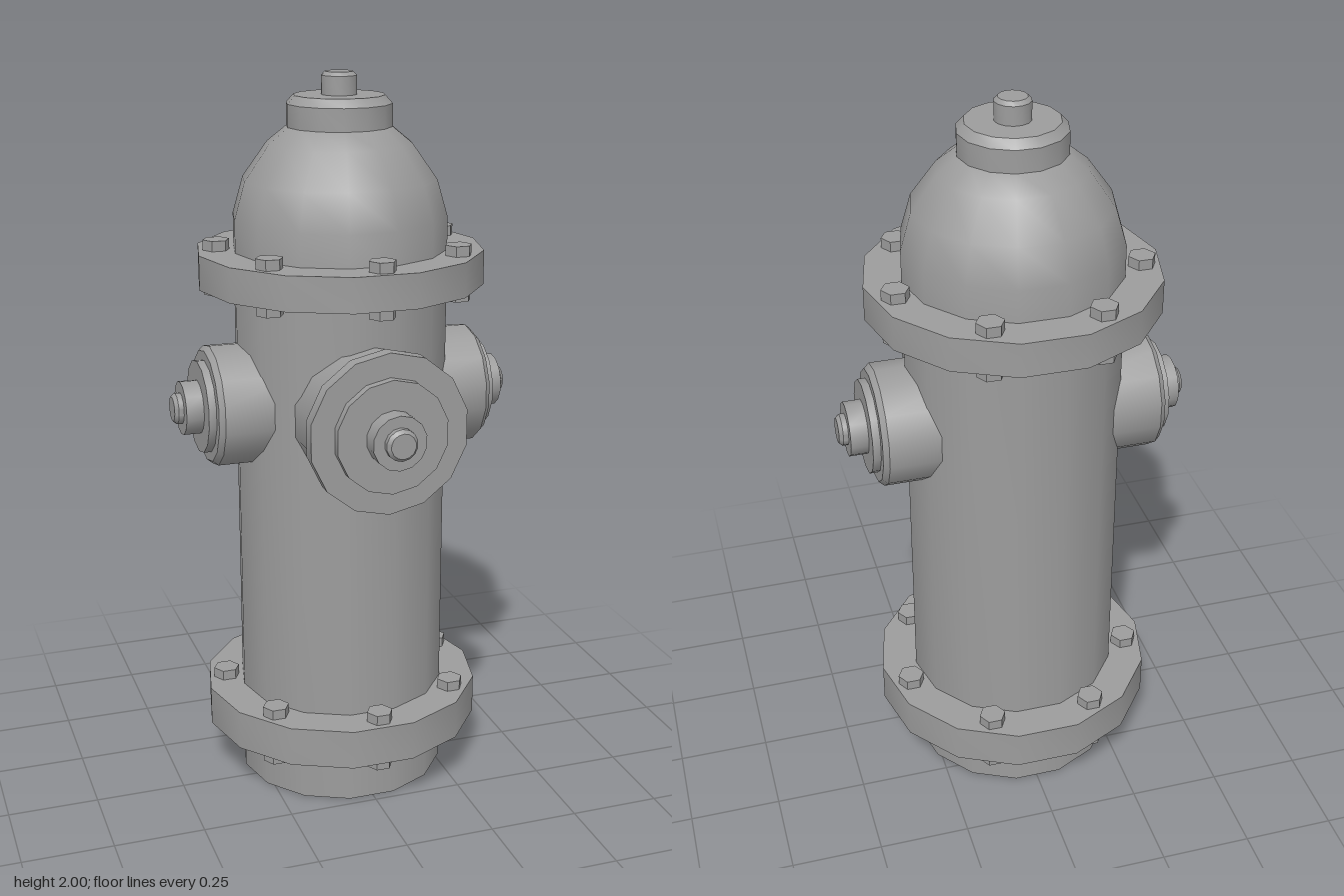
import * as THREE from 'three';
import { toCreasedNormals } from 'three/addons/utils/BufferGeometryUtils.js';

const SIDES = 14;
const material = new THREE.MeshStandardMaterial({ color: 0x9c9c9c });

function addMesh(parent, name, geometry) {
  const mesh = new THREE.Mesh(geometry, material);
  mesh.name = name;
  parent.add(mesh);
  return mesh;
}

// Turned part from [radius, height] pairs, smooth around and sharp at steps
function turned(profile, phiStart) {
  const points = profile.map(([r, h]) => new THREE.Vector2(r, h));
  return toCreasedNormals(new THREE.LatheGeometry(points, SIDES, phiStart), 0.6);
}

// Upright parts have a corner on the x axis
const upright = (profile) => turned(profile, Math.PI / SIDES);

// Flange ring with seven hex bolts passing through it
function addFlange(parent, name, bottom, top) {
  const flange = new THREE.Group();
  flange.name = name;
  parent.add(flange);
  addMesh(flange, 'flangePlate', upright([[0, bottom], [0.393, bottom], [0.393, top], [0, top]]));
  const height = top - bottom + 0.056;
  const boltGeometry = new THREE.CylinderGeometry(0.037, 0.037, height, 6).rotateY(Math.PI / 6).toNonIndexed();
  boltGeometry.computeVertexNormals();
  for (let i = 0; i < 7; i++) {
    const angle = (i / 7) * Math.PI * 2 + 0.012;
    const bolt = addMesh(flange, 'bolt', boltGeometry);
    bolt.position.set(0.335 * Math.sin(angle), (bottom + top) / 2, 0.335 * Math.cos(angle));
  }
}

// Nozzle turned about the +z axis, then swung around the barrel
function addNozzle(parent, name, profile, turn) {
  const nozzle = addMesh(parent, name, turned(profile, 0).rotateX(Math.PI / 2));
  nozzle.position.set(0.002, 1.117, 0);
  nozzle.rotation.y = turn;
}

export function createModel() {
  const model = new THREE.Group();
  model.name = 'fireHydrant';
  const body = new THREE.Group();
  body.name = 'body';
  body.position.set(-0.003, 0, -0.0625);
  model.add(body);

  // Barrel and rounded bonnet
  addMesh(body, 'barrel', upright([[0, 0], [0.293, 0], [0.293, 1.5], [0, 1.5]]));
  addMesh(body, 'bonnet', upright([
    [0.293, 1.48], [0.293, 1.62], [0.264, 1.72], [0.196, 1.815], [0.14, 1.86], [0, 1.89],
  ]));

  // Cap and operating nut
  addMesh(body, 'topCap', upright([[0, 1.855], [0.143, 1.855], [0.143, 1.918], [0.123, 1.94], [0, 1.94]]));
  addMesh(body, 'topNut', upright([[0, 1.92], [0.048, 1.92], [0.048, 1.99], [0.038, 2], [0, 2]]));

  // Bolted flanges
  addFlange(body, 'lowerFlange', 0.153, 0.264);
  addFlange(body, 'upperFlange', 1.438, 1.532);

  // Large front outlet
  addNozzle(body, 'frontNozzle', [
    [0, 0.15], [0.202, 0.15], [0.202, 0.365], [0.219, 0.365], [0.219, 0.406],
    [0.154, 0.406], [0.154, 0.431], [0.074, 0.431], [0.074, 0.482],
    [0.043, 0.482], [0.043, 0.497], [0.034, 0.507], [0, 0.507],
  ], 0);

  // Matching side outlets
  const sideProfile = [
    [0, 0.15], [0.167, 0.15], [0.167, 0.373], [0.154, 0.388],
    [0.128, 0.388], [0.128, 0.409], [0.074, 0.409], [0.074, 0.457],
    [0.043, 0.457], [0.043, 0.471], [0.034, 0.481], [0, 0.481],
  ];
  addNozzle(body, 'leftNozzle', sideProfile, Math.PI / 2);
  addNozzle(body, 'rightNozzle', sideProfile, -Math.PI / 2);

  return model;
}
